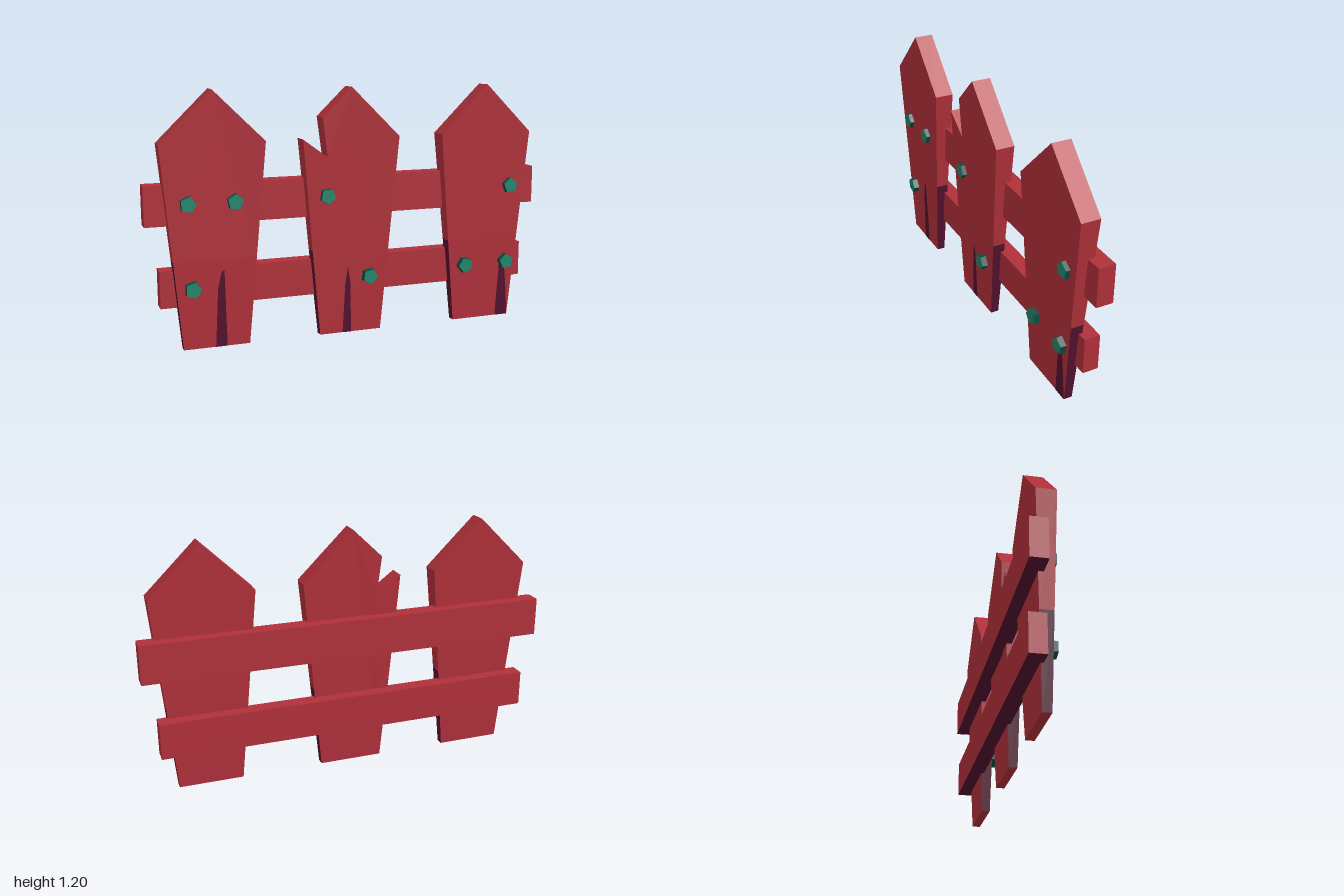
import * as THREE from 'three';

const mat = (name, color) => {
  const m = new THREE.MeshStandardMaterial({ color });
  m.name = name;
  return m;
};

// Pickets grow thicker from the ground up to the shoulders
const SHOULDER = 0.96, STAIN = 0.42;
const grow = y => Math.min(1, y / SHOULDER);
const frontZ = y => 0.04 + 0.022 * grow(y);
const backZ = y => -0.03 * grow(y);
const shapeOf = pts => new THREE.Shape(pts.map(p => new THREE.Vector2(p[0], p[1])));

// Board cut from an outline; its narrow sides are dark below the stain line
function picketGeometry(pts) {
  const geo = new THREE.ExtrudeGeometry(shapeOf(pts), { depth: 1, bevelEnabled: false });
  const pos = geo.attributes.position, nor = geo.attributes.normal;
  geo.clearGroups();
  for (let i = 0; i < pos.count; i += 3) {
    const y = (pos.getY(i) + pos.getY(i + 1) + pos.getY(i + 2)) / 3;
    geo.addGroup(i, 3, Math.abs(nor.getX(i)) > 0.9 && y < STAIN ? 1 : 0);
  }
  for (let i = 0; i < pos.count; i++) {
    const y = pos.getY(i);
    pos.setZ(i, pos.getZ(i) > 0.5 ? frontZ(y) : backZ(y));
  }
  geo.computeVertexNormals();
  return geo;
}

// Thin painted crack lying on the front of a picket
function crackGeometry(pts) {
  const geo = new THREE.ShapeGeometry(shapeOf(pts));
  const pos = geo.attributes.position;
  for (let i = 0; i < pos.count; i++) pos.setZ(i, frontZ(pos.getY(i)) + 0.002);
  geo.computeVertexNormals();
  return geo;
}

export function createModel() {
  const red = mat('redWood', 0xb0303a);
  const plum = mat('darkPlum', 0x53102e);
  const teal = mat('tealNail', 0x22866c);
  const darkTeal = mat('darkTealNail', 0x0d4a44);

  const model = new THREE.Group();
  model.name = 'fence';
  const add = (name, geo, material) => {
    const mesh = new THREE.Mesh(geo, material);
    mesh.name = name;
    model.add(mesh);
    return mesh;
  };

  // Horizontal rails with dark undersides
  const rail = (name, x0, x1, y0, y1, z0, z1) => {
    const geo = new THREE.BoxGeometry(x1 - x0, y1 - y0, z1 - z0);
    add(name, geo, [red, red, red, plum, red, red])
      .position.set((x0 + x1) / 2, (y0 + y1) / 2, (z0 + z1) / 2);
  };
  rail('upperRail', -1, 1, 0.583, 0.772, -0.075, 0.006);
  rail('lowerRail', -0.94, 0.935, 0.198, 0.375, -0.07, 0.006);

  // Pickets, each relative to its own centre line
  const tips = {
    whole: [[-0.245, SHOULDER]],
    broken: [[-0.145, 1.06], [-0.121, 0.872], [-0.241, SHOULDER]],
  };
  const picket = (name, cx, tip) => {
    const edge = 0.157 + (0.245 - 0.157) * STAIN / SHOULDER;
    const pts = [[-0.157, 0], [0.157, 0], [edge, STAIN], [0.245, SHOULDER], [0, 1.2],
      ...tip, [-edge, STAIN]].map(([x, y]) => [x + cx, y]);
    add(name, picketGeometry(pts), [red, plum]);
  };
  picket('rightPicket', -0.688, tips.whole);
  picket('brokenMiddlePicket', -0.023, tips.broken);
  picket('leftPicket', 0.695, tips.whole);

  // Cracks rising from the ground
  [
    [[-0.695, 0], [-0.64, 0], [-0.648, 0.37], [-0.662, 0.36], [-0.68, 0.28]],
    [[-0.065, 0], [-0.02, 0], [-0.027, 0.26], [-0.04, 0.33], [-0.053, 0.24]],
    [[0.78, 0], [0.852, 0], [0.838, 0.16], [0.825, 0.27], [0.795, 0.27]],
  ].forEach((pts, i) => add('crack' + (i + 1), crackGeometry(pts), plum));

  // Five-sided nail heads: x, y, turn in degrees
  [
    [-0.81, 0.687, 5], [-0.592, 0.687, 85], [-0.145, 0.687, 62], [0.835, 0.688, 95],
    [-0.797, 0.29, 0], [0.07, 0.278, 65], [0.59, 0.29, 40], [0.823, 0.292, 95],
  ].forEach(([x, y, turn], i) => {
    const geo = new THREE.CylinderGeometry(0.039, 0.043, 0.045, 5).toNonIndexed();
    geo.computeVertexNormals();
    geo.rotateX(Math.PI / 2);
    geo.rotateZ(THREE.MathUtils.degToRad(turn + 90));
    add('nail' + (i + 1), geo, [darkTeal, teal, darkTeal])
      .position.set(x, y, 0.053);
  });

  return model;
}
